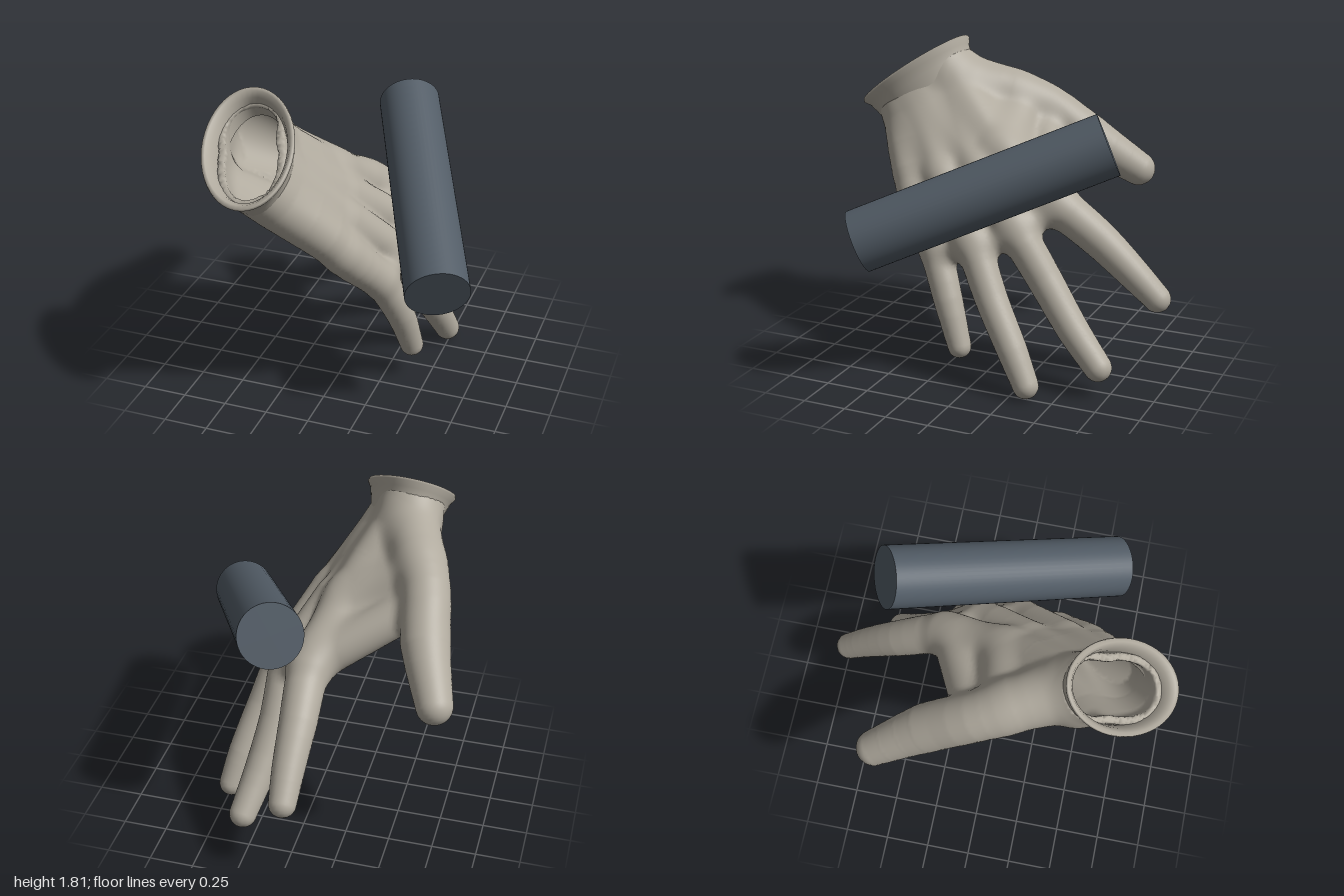
import * as THREE from 'three';

const V = (x, y, z) => new THREE.Vector3(x, y, z);

// Cuff frame: opening centre, outward axis, and the long and short axes of the oval
const rim = V(-0.32, 1.595, 0.71);
const out = V(-0.09, 0.8, 0.6).normalize();
const long = V(0.326, -0.567, 0.756).projectOnPlane(out).normalize();
const short = new THREE.Vector3().crossVectors(long, out).normalize();
const cuffPoint = (h, l = 0, s = 0) =>
  rim.clone().addScaledVector(out, h).addScaledVector(long, l).addScaledVector(short, s);

// Each limb is a chain of [x, y, z, radius] joints, rounded off along a curve
const joint = (p, r) => [p.x, p.y, p.z, r];
const wrist = (l, h = -0.12) => joint(cuffPoint(h, l), 0.165);
function rounded(joints, parts = 3) {
  const curve = new THREE.CatmullRomCurve3(joints.map((j) => V(...j)));
  const spans = joints.length - 1, result = [];
  for (let i = 0; i <= spans * parts; i++) {
    const s = Math.min(spans - 1, Math.floor(i / parts)), f = i / parts - s;
    result.push(joint(curve.getPoint(i / parts / spans), joints[s][3] * (1 - f) + joints[s + 1][3] * f));
  }
  return result;
}

const fingers = [
  [[-0.11, 1.22, 0.08, 0.1], [0.005, 0.97, -0.34, 0.115], [0, 0.8, -0.58, 0.105], [0, 0.63, -0.78, 0.09], [-0.005, 0.5, -0.92, 0.077]], // index
  [[0, 1.12, 0.16, 0.1], [0.17, 0.87, -0.13, 0.107], [0.2, 0.6, -0.33, 0.098], [0.25, 0.35, -0.52, 0.09], [0.3, 0.17, -0.69, 0.078]], // middle
  [[0.06, 1.07, 0.35, 0.1], [0.26, 0.78, 0.08, 0.101], [0.36, 0.5, -0.08, 0.092], [0.44, 0.25, -0.24, 0.085], [0.485, 0.075, -0.34, 0.073]], // ring
  [[0.12, 0.94, 0.48, 0.1], [0.26, 0.71, 0.31, 0.093], [0.35, 0.45, 0.19, 0.083], [0.395, 0.2, 0.1, 0.067]], // little
  [[-0.38, 1.51, 0.36, 0.13], [-0.48, 1.47, 0.17, 0.14], [-0.56, 1.39, -0.02, 0.135], [-0.62, 1.21, -0.28, 0.135], [-0.73, 1.02, -0.555, 0.1]], // thumb
].map((f) => rounded(f));
const palm = [
  rounded([wrist(0.15, 0.2), wrist(0.15), [0.03, 1.07, 0.56, 0.123], [0.16, 0.87, 0.44, 0.1], [0.25, 0.72, 0.32, 0.07]]),
  rounded([wrist(-0.15, 0.2), wrist(-0.15), [-0.12, 1.24, 0.1, 0.115], [0.01, 0.99, -0.31, 0.09]]),
  rounded([wrist(0, 0.2), wrist(0), [-0.01, 1.13, 0.17, 0.115], [0.16, 0.89, -0.11, 0.085]]),
  [wrist(0.05), [0.06, 1.07, 0.35, 0.115], [0.25, 0.8, 0.1, 0.08]],
  [wrist(-0.15), [-0.48, 1.47, 0.17, 0.12]],
  [[-0.4, 1.45, 0.48, 0.13], [-0.14, 1.14, 0.12, 0.125]], // heel of the palm
  [[-0.4, 1.43, 0.3, 0.13], [-0.13, 1.12, -0.03, 0.125]], // ball of the thumb
  [[-0.53, 1.3, -0.03, 0.11], [-0.04, 1.01, -0.25, 0.12]], // web of the thumb
  [[-0.5, 1.41, 0.1, 0.12], [-0.1, 1.2, 0.05, 0.11]], // back of the thumb web
  [[0.27, 0.72, 0.26, 0.07], [0.28, 0.74, 0.06, 0.07], [0.19, 0.83, -0.14, 0.07], [0.04, 0.96, -0.31, 0.08]], // webs of the fingers
];
const hollow = [0.15, 0, -0.15].map((l) => [
  joint(cuffPoint(0.3, l), 0.21), joint(cuffPoint(-0.15, l), 0.21),
  joint(V(-0.1, 1.24, 0.3).addScaledVector(long, l), 0.14),
]);

// Distance to a tapered rod, and soft blending of distances
function rod(x, y, z, a, b) {
  const bx = b[0] - a[0], by = b[1] - a[1], bz = b[2] - a[2];
  const px = x - a[0], py = y - a[1], pz = z - a[2];
  const t = Math.min(1, Math.max(0, (px * bx + py * by + pz * bz) / (bx * bx + by * by + bz * bz)));
  const dx = px - bx * t, dy = py - by * t, dz = pz - bz * t;
  return Math.sqrt(dx * dx + dy * dy + dz * dz) - a[3] - (b[3] - a[3]) * t;
}
function blend(a, b, k) {
  const h = Math.max(k - Math.abs(a - b), 0) / k;
  return Math.min(a, b) - h * h * k * 0.25;
}
function chain(x, y, z, joints) {
  let d = 9;
  for (let i = 1; i < joints.length; i++) d = Math.min(d, rod(x, y, z, joints[i - 1], joints[i]));
  return d;
}
function gloveDistance(x, y, z) {
  let hand = 9, digits = 9, inside = 9;
  for (const c of palm) hand = blend(hand, chain(x, y, z, c), 0.08);
  for (const c of fingers) digits = blend(digits, chain(x, y, z, c), 0.035);
  for (const c of hollow) inside = Math.min(inside, chain(x, y, z, c));
  const outer = blend(hand, digits, 0.06);
  const h = (x - rim.x) * out.x + (y - rim.y) * out.y + (z - rim.z) * out.z;
  // The hollow keeps a wall of even thickness
  return Math.max(outer, -Math.max(inside, outer + 0.04), h + 0.06);
}

// Skin over a distance field: one vertex per crossed cell, one quad per crossed edge
function skin(field, min, max, step) {
  const n = [0, 1, 2].map((i) => Math.ceil((max[i] - min[i]) / step) + 1);
  const stride = [1, n[0], n[0] * n[1]];
  const values = new Float32Array(n[0] * n[1] * n[2]);
  const each = (from, fn) => {
    for (let k = from; k < n[2] - 1; k++)
      for (let j = from; j < n[1] - 1; j++)
        for (let i = from; i < n[0] - 1; i++) fn(i, j, k, i + j * stride[1] + k * stride[2]);
  };
  values.fill(1);
  each(0, (i, j, k, id) => {
    values[id] = field(min[0] + i * step, min[1] + j * step, min[2] + k * step);
  });
  const cell = new Int32Array(values.length).fill(-1);
  const positions = [], normals = [], index = [];
  each(0, (i, j, k, id) => {
    const sum = [0, 0, 0];
    let count = 0;
    for (let c = 0; c < 8; c++) {
      for (let axis = 0; axis < 3; axis++) {
        if (c & (1 << axis)) continue;
        const o = [c & 1, (c >> 1) & 1, c >> 2];
        const s = id + o[0] + o[1] * stride[1] + o[2] * stride[2];
        const a = values[s], b = values[s + stride[axis]];
        if (a < 0 === b < 0) continue;
        o[axis] += a / (a - b);
        for (let q = 0; q < 3; q++) sum[q] += o[q];
        count++;
      }
    }
    if (!count) return;
    cell[id] = positions.length / 3;
    const p = [i, j, k].map((v, q) => min[q] + (v + sum[q] / count) * step);
    const e = 0.012;
    const g = V(
      field(p[0] + e, p[1], p[2]) - field(p[0] - e, p[1], p[2]),
      field(p[0], p[1] + e, p[2]) - field(p[0], p[1] - e, p[2]),
      field(p[0], p[1], p[2] + e) - field(p[0], p[1], p[2] - e)).normalize();
    const d = field(...p);
    positions.push(p[0] - g.x * d, p[1] - g.y * d, p[2] - g.z * d);
    normals.push(g.x, g.y, g.z);
  });
  each(1, (i, j, k, id) => {
    for (let axis = 0; axis < 3; axis++) {
      const a = values[id] < 0, b = values[id + stride[axis]] < 0;
      if (a === b) continue;
      const u = stride[(axis + 1) % 3], v = stride[(axis + 2) % 3];
      const q = [cell[id - u - v], cell[id - v], cell[id], cell[id - u]];
      if (!a) q.reverse();
      index.push(q[0], q[1], q[2], q[0], q[2], q[3]);
    }
  });
  const geometry = new THREE.BufferGeometry();
  geometry.setAttribute('position', new THREE.Float32BufferAttribute(positions, 3));
  geometry.setAttribute('normal', new THREE.Float32BufferAttribute(normals, 3));
  geometry.setIndex(index);
  return geometry;
}

// Flared, rolled lip: oval rings of [height, half length, half width]
function lipGeometry() {
  const rings = [[-0.16, 0.316, 0.2], [-0.09, 0.332, 0.218], [-0.04, 0.347, 0.234], [-0.008, 0.37, 0.255],
    [0.006, 0.366, 0.251], [0.006, 0.345, 0.232], [-0.02, 0.318, 0.21], [-0.07, 0.303, 0.193], [-0.16, 0.296, 0.18]];
  const sides = 48, positions = [], index = [];
  rings.forEach(([h, l, s], r) => {
    for (let i = 0; i < sides; i++) {
      const a = (i / sides) * Math.PI * 2;
      positions.push(...cuffPoint(h, Math.cos(a) * l, Math.sin(a) * s).toArray());
      if (!r) continue;
      const p = (r - 1) * sides, c = r * sides, j = (i + 1) % sides;
      index.push(p + i, p + j, c + i, p + j, c + j, c + i);
    }
  });
  const geometry = new THREE.BufferGeometry();
  geometry.setAttribute('position', new THREE.Float32BufferAttribute(positions, 3));
  geometry.setIndex(index);
  geometry.computeVertexNormals();
  return geometry;
}

export function createModel() {
  const model = new THREE.Group();
  const fabric = new THREE.MeshStandardMaterial({ color: 0xb0aa9e, side: THREE.DoubleSide });
  fabric.name = 'warm grey fabric';
  const steel = new THREE.MeshStandardMaterial({ color: 0x525c66 });
  steel.name = 'blue grey';
  const add = (name, geometry, material) => {
    const mesh = new THREE.Mesh(geometry, material);
    mesh.name = name;
    model.add(mesh);
    return mesh;
  };

  add('glove', skin(gloveDistance, [-0.95, -0.06, -1.06], [0.66, 1.9, 1.06], 0.021), fabric);
  add('cuffLip', lipGeometry(), fabric);

  // Rod lying across the back of the hand
  const back = V(0.12, 1.38, -0.66), front = V(0.67, 0.842, 0.57);
  const axis = front.clone().sub(back);
  const bar = add('rod', new THREE.CylinderGeometry(0.176, 0.176, axis.length(), 48), steel);
  bar.position.copy(back).add(front).multiplyScalar(0.5);
  bar.quaternion.setFromUnitVectors(V(0, 1, 0), axis.normalize());
  return model;
}
